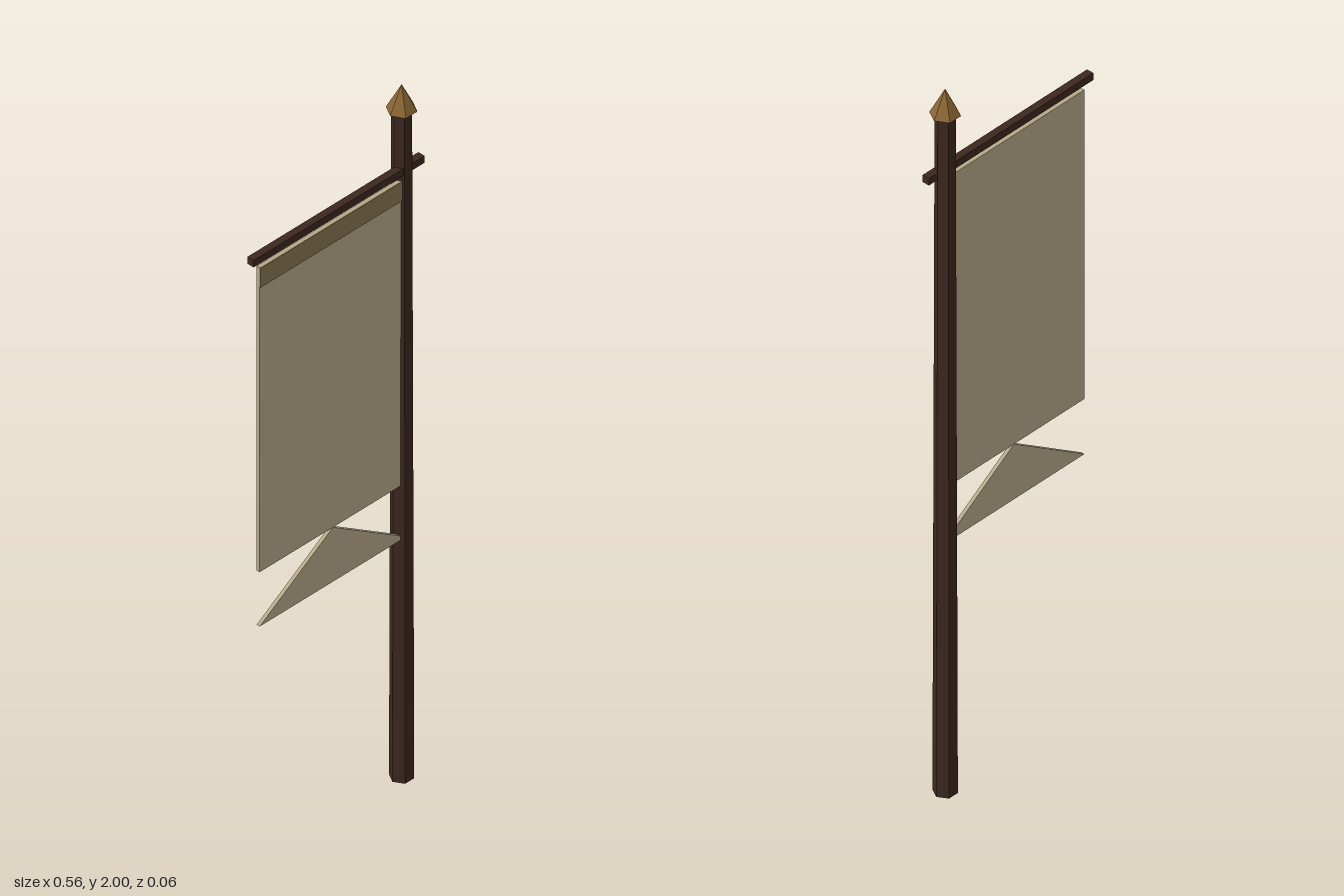
import * as THREE from 'three';

export function createModel() {
  const model = new THREE.Group();
  model.name = 'banner';

  const material = (name, color) => {
    const m = new THREE.MeshStandardMaterial({ color, flatShading: true });
    m.name = name;
    return m;
  };
  const wood = material('dark wood', 0x3d271f);
  const brass = material('brass', 0x8a6535);
  const cloth = material('linen cloth', 0xb5a888);
  const trim = material('cloth trim', 0x857350);

  const add = (name, geometry, mat, x, y, z) => {
    const mesh = new THREE.Mesh(geometry, mat);
    mesh.name = name;
    mesh.position.set(x, y, z);
    model.add(mesh);
  };

  // Six-sided shaft and spear tip, with corners pointing along x
  const poleX = 0.225, poleTop = 1.928;
  const hexagonal = (top, bottom, height) =>
    new THREE.CylinderGeometry(top, bottom, height, 6, 1, false, Math.PI / 2);
  add('pole', hexagonal(0.025, 0.03, poleTop), wood, poleX, poleTop / 2, 0);
  add('finial', hexagonal(0, 0.0375, 2 - poleTop), brass, poleX, (2 + poleTop) / 2, 0);

  // Bar carrying the cloth
  add('crossbar', new THREE.BoxGeometry(0.56, 0.02, 0.02), wood, 0, 1.764, 0.01);

  // Hanging cloth with a darker band along its top edge
  const clothX = -0.015, width = 0.48, top = 1.737, bottom = 0.857, depth = 0.01;
  add('cloth', new THREE.BoxGeometry(width, top - bottom, depth), cloth, clothX, (top + bottom) / 2, 0.01);
  add('topBand', new THREE.BoxGeometry(width, 0.056, 0.003), trim, clothX, top - 0.028, 0.0165);

  // Triangular tail touching the cloth's lower edge
  const tail = new THREE.Shape([
    new THREE.Vector2(-width / 2, -0.157),
    new THREE.Vector2(width / 2, -0.157),
    new THREE.Vector2(0, 0),
  ]);
  add('tail', new THREE.ExtrudeGeometry(tail, { depth, bevelEnabled: false }), cloth, clothX, bottom, 0.005);

  return model;
}
